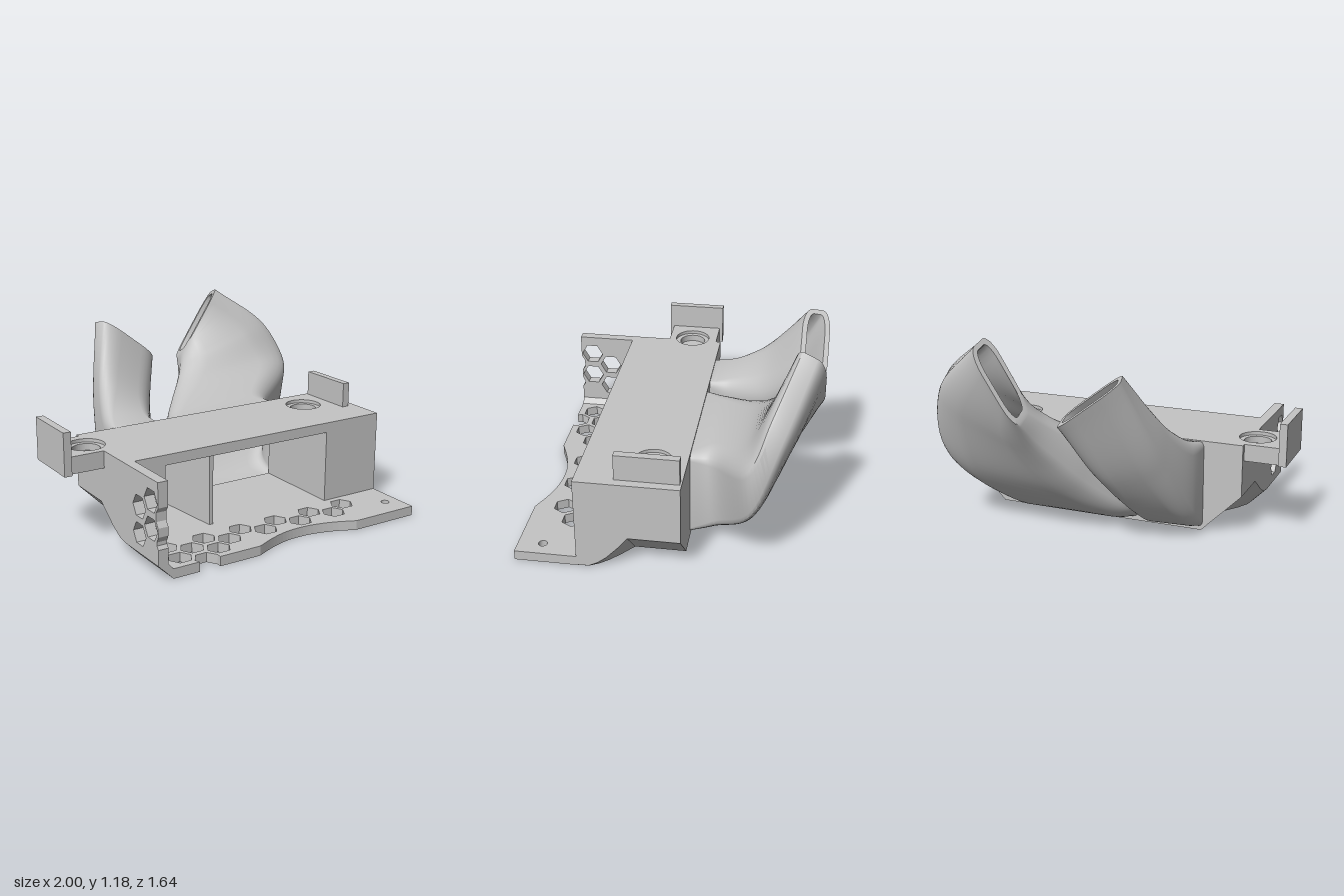
import * as THREE from 'three';
import { toCreasedNormals } from 'three/addons/utils/BufferGeometryUtils.js';

const V = (p) => new THREE.Vector3(...p);

// Skins a list of equal rings (counter-clockwise from the front, running backwards in z)
function skin(rings, capped) {
  const n = rings[0].length, last = (rings.length - 1) * n, idx = [];
  for (let i = 0; i < rings.length - 1; i++) {
    for (let j = 0; j < n; j++) {
      const k = (j + 1) % n, a = i * n + j, b = i * n + k, c = b + n, d = a + n;
      idx.push(a, d, c, a, c, b);
    }
  }
  if (capped) {
    for (let j = 1; j < n - 1; j++) idx.push(0, j, j + 1, last, last + j + 1, last + j);
  }
  const g = new THREE.BufferGeometry().setFromPoints(rings.flat());
  g.setIndex(idx);
  return toCreasedNormals(g, 0.6);
}

// Unit square with rounded corners
function roundedSquare(r) {
  const pts = [];
  [[r, r], [1 - r, r], [1 - r, 1 - r], [r, 1 - r]].forEach(([cx, cy], q) => {
    for (let s = 0; s <= 6; s++) {
      const a = Math.PI + (q + s / 6) * Math.PI / 2;
      pts.push([cx + r * Math.cos(a), cy + r * Math.sin(a)]);
    }
  });
  return pts;
}

// Hollow duct swept along four corner paths: left-bottom, right-bottom, right-top, left-top.
// The wall thickens towards the nozzle.
function duct(paths) {
  const curves = paths.map((p) => new THREE.CatmullRomCurve3(p.map(V)));
  const steps = 36;
  const ring = (i, inner) => {
    const t = i / steps;
    const w = inner ? 0.018 + 0.012 * t : 0;
    const [lb, rb, rt, lt] = curves.map((c) => c.getPoint(t));
    const tu = w * 2 / (lb.distanceTo(rb) + lt.distanceTo(rt));
    const tv = w * 2 / (lb.distanceTo(lt) + rb.distanceTo(rt));
    return roundedSquare(0.06 + 0.24 * Math.min(1, t * 1.6)).map(([u, v]) => {
      const uu = tu + u * (1 - 2 * tu), vv = tv + v * (1 - 2 * tv);
      return lb.clone().lerp(rb, uu).lerp(lt.clone().lerp(rt, uu), vv);
    });
  };
  const rings = [];
  for (let i = 0; i <= steps; i++) rings.push(ring(i, false));
  for (let i = steps; i >= 0; i--) rings.push(ring(i, true));
  rings.push(ring(0, false));
  return skin(rings, false);
}

const shapeOf = (pts) => new THREE.Shape(pts.map(([x, y]) => new THREE.Vector2(x, y)));

function addHexes(shape, centres, r) {
  for (const [cx, cy] of centres) {
    const pts = [];
    for (let k = 0; k < 6; k++) {
      const a = k * Math.PI / 3;
      pts.push(new THREE.Vector2(cx + r * Math.cos(a), cy + r * Math.sin(a)));
    }
    shape.holes.push(new THREE.Path(pts));
  }
}

function addHole(shape, x, y, r) {
  shape.holes.push(new THREE.Path().absarc(x, y, r, 0, Math.PI * 2, true));
}

const extrude = (shape, depth) =>
  new THREE.ExtrudeGeometry(shape, { depth, bevelEnabled: false, curveSegments: 24 });

// Horizontal plate drawn in x and z, between two heights
const plate = (shape, y0, y1) => extrude(shape, y1 - y0).rotateX(Math.PI / 2).translate(0, y1, 0);

export function createModel() {
  const group = new THREE.Group();
  const grey = new THREE.MeshStandardMaterial({ color: 0xc4c4c4 });
  grey.name = 'grey plastic';
  const add = (name, geometry) => {
    const m = new THREE.Mesh(geometry, grey);
    m.name = name;
    group.add(m);
  };
  const box = (name, x0, x1, y0, y1, z0, z1) => add(name,
    new THREE.BoxGeometry(x1 - x0, y1 - y0, z1 - z0)
      .translate((x0 + x1) / 2, (y0 + y1) / 2, (z0 + z1) / 2));

  // Roof with the side arm and two stepped sockets
  const outline = [[-0.75, -0.11], [1, -0.11], [1, 0.47], [-0.75, 0.47],
    [-0.75, 0.23], [-0.97, 0.23], [-0.97, -0.08], [-0.75, -0.08]];
  [['roofTop', 0.53, 0.55, 0.108], ['roofUnderside', 0.49, 0.53, 0.08]].forEach(([name, y0, y1, r]) => {
    const s = shapeOf(outline);
    addHole(s, -0.785, 0.08, r);
    addHole(s, 0.73, 0.08, r);
    add(name, plate(s, y0, y1));
  });
  box('armUnderside', -0.97, -0.69, 0.45, 0.49, -0.08, 0.23);
  box('rightClip', -1, -0.955, 0.45, 0.7, -0.1, 0.255);
  box('leftClip', 0.905, 0.95, 0.55, 0.7, -0.1, 0.255);

  // Solid cheeks whose lower outer edge is cut away towards the back
  const cheek = (outer, inner, cuts) => {
    const s = Math.sign(outer);
    return skin(cuts.map(([z, c]) => {
      const ring = [[inner, 0], [outer - s * c, 0], [outer, c], [outer, 0.49], [inner, 0.49]];
      if (s < 0) ring.reverse();
      return ring.map(([x, y]) => V([x, y, z]));
    }), true);
  };
  add('leftCheek', cheek(1, 0.61,
    [[0.47, 0.002], [0.4, 0.004], [0.35, 0.03], [0.3, 0.07], [0.24, 0.135], [0.18, 0.21], [-0.11, 0.21]]));
  add('rightCheek', cheek(-0.75, -0.5,
    [[0.47, 0.09], [0.4, 0.1], [0.32, 0.14], [0.25, 0.19], [0.18, 0.24], [-0.11, 0.24]]));
  box('tunnelFloor', -0.5, 0.61, 0, 0.057, -0.11, 0.47);

  // Wedge that parts the two air channels
  add('divider', plate(shapeOf([[-0.185, 0.42], [-0.24, -0.11], [-0.09, -0.11], [-0.16, 0.42]]), 0.057, 0.49));

  // Front shelf with honeycomb holes, a scalloped edge and a screw hole
  const front = [[-0.66, 0.47], [1, 0.47], [1, 0.82], [0.57, 0.82]];
  const scallop = new THREE.CatmullRomCurve3([[0.57, 0.82, 0], [0.44, 0.765, 0], [0.32, 0.735, 0],
    [0.23, 0.728, 0], [0.13, 0.735, 0], [0.02, 0.765, 0], [-0.11, 0.82, 0]].map(V));
  scallop.getPoints(24).slice(1).forEach((p) => front.push([p.x, p.y]));
  front.push([-0.37, 0.82], [-0.37, 0.79], [-0.405, 0.735], [-0.475, 0.735],
    [-0.51, 0.79], [-0.5, 0.82], [-0.66, 0.82]);
  const shelf = shapeOf(front);
  const cells = [[-0.56, 0.717], [-0.315, 0.717]];
  for (let i = 0; i < 6; i++) {
    cells.push([-0.56 + i * 0.245, 0.565]);
    if (i < 5) cells.push([-0.438 + i * 0.245, 0.642]);
  }
  addHexes(shelf, cells, 0.069);
  addHole(shelf, 0.91, 0.68, 0.025);
  add('frontShelf', plate(shelf, 0, 0.057));

  // Honeycomb side wall, drawn in z and y, with nicks in its front edge
  const wall = shapeOf([[0.47, 0.09], [0.82, 0.09], [0.82, 0.18], [0.805, 0.2], [0.805, 0.22], [0.82, 0.25],
    [0.82, 0.3], [0.8, 0.33], [0.8, 0.38], [0.82, 0.41], [0.82, 0.55], [0.47, 0.55]]);
  addHexes(wall, [[0.745, 0.43], [0.745, 0.275], [0.622, 0.355], [0.622, 0.2]], 0.068);
  add('honeycombWall', extrude(wall, 0.06).rotateY(-Math.PI / 2).translate(-0.69, 0, 0));
  const corner = shapeOf([[-0.75, 0.09], [-0.66, 0], [-0.66, 0.057], [-0.69, 0.09]]);
  add('wallCorner', extrude(corner, 0.35).translate(0, 0, 0.47));

  // Wide duct that bulges outwards and turns its nozzle inwards
  add('wideDuct', duct([
    [[-0.12, 0.02, -0.1], [-0.1, 0.06, -0.25], [0.1, 0.25, -0.48], [0.28, 0.54, -0.7], [0.32, 0.72, -0.82]],
    [[0.65, 0.02, -0.1], [0.68, 0.06, -0.25], [0.96, 0.34, -0.5], [0.92, 0.78, -0.67], [0.59, 1.13, -0.82]],
    [[0.65, 0.54, -0.1], [0.66, 0.57, -0.22], [0.98, 0.75, -0.44], [0.87, 0.98, -0.53], [0.56, 1.2, -0.65]],
    [[-0.12, 0.54, -0.1], [-0.09, 0.56, -0.2], [0.05, 0.64, -0.4], [0.21, 0.74, -0.56], [0.31, 0.81, -0.66]],
  ]));

  // Narrow duct leaning towards the wide one
  add('narrowDuct', duct([
    [[-0.52, 0.02, -0.1], [-0.51, 0.1, -0.28], [-0.43, 0.5, -0.58], [-0.29, 1.03, -0.82]],
    [[-0.2, 0.02, -0.1], [-0.18, 0.08, -0.28], [-0.05, 0.36, -0.6], [0.09, 0.74, -0.82]],
    [[-0.2, 0.54, -0.1], [-0.18, 0.55, -0.22], [-0.06, 0.61, -0.44], [0.09, 0.8, -0.66]],
    [[-0.52, 0.54, -0.1], [-0.5, 0.6, -0.25], [-0.41, 0.78, -0.44], [-0.25, 1.06, -0.66]],
  ]));

  return group;
}
